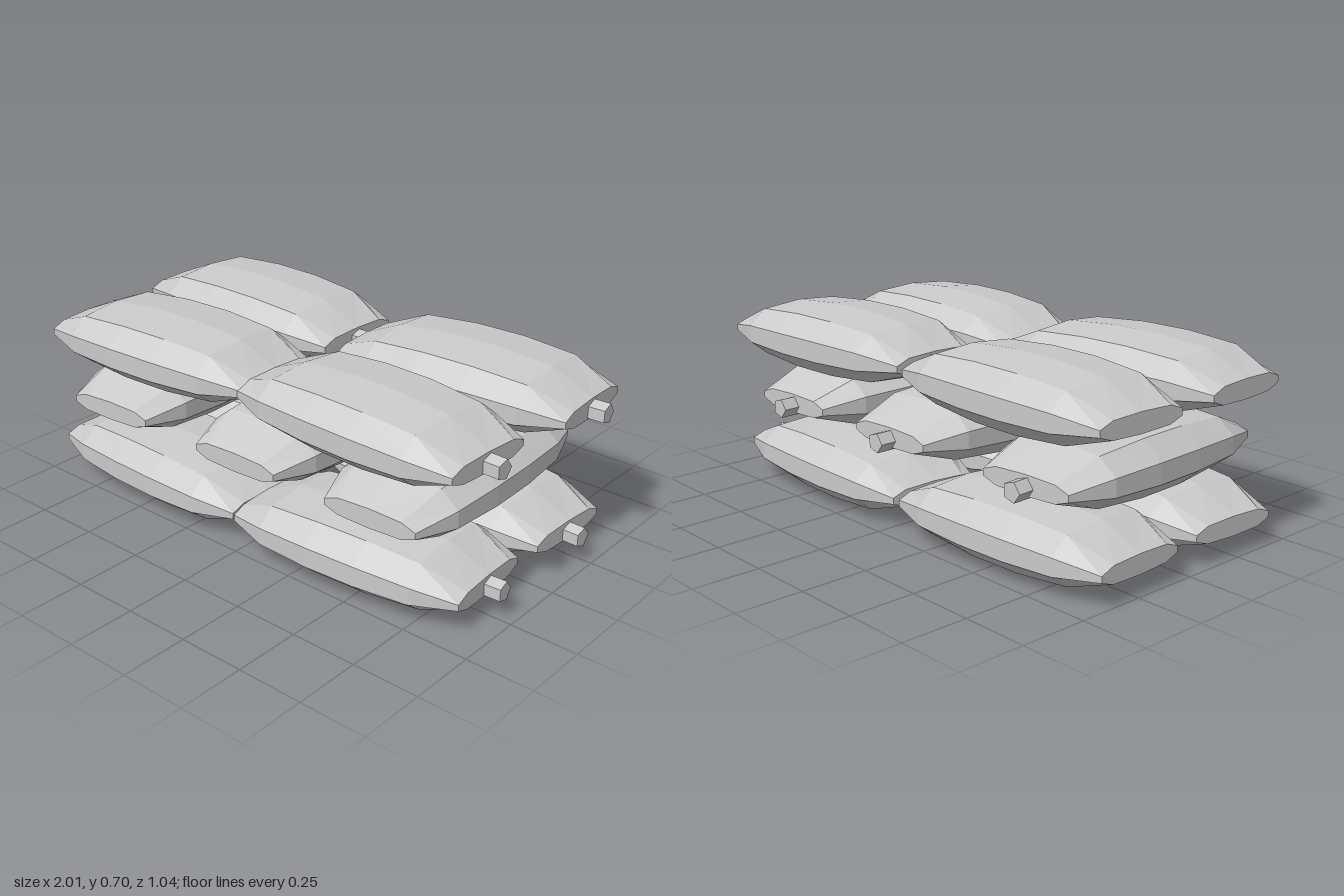
import * as THREE from 'three';

// Half-section of a bag, as (y, z) fractions from top to bottom
const HALF = [[1, 0], [0.87, 0.7], [0.31, 1], [-0.33, 1], [-0.87, 0.7], [-1, 0]];
const SECTION = [...HALF, ...HALF.slice(1, -1).reverse().map(([y, z]) => [y, -z])];

// Stations along the bag: x, half height, half width, y offset
const STATIONS = [
  [-0.472, 0.036, 0.183, -0.008],
  [-0.31, 0.1, 0.236, 0],
  [-0.1, 0.1165, 0.249, 0],
  [0.1, 0.1165, 0.249, 0],
  [0.31, 0.1, 0.236, 0],
  [0.472, 0.036, 0.183, -0.008],
];

// Faceted pillow lofted through the stations, closed at both ends
function bagGeometry() {
  const n = SECTION.length;
  const rings = STATIONS.map(([x, h, w, dy]) => SECTION.map(([y, z]) => [x, y * h + dy, z * w]));
  const pos = [];
  const tri = (a, b, c) => pos.push(...a, ...b, ...c);
  for (let i = 0; i < rings.length - 1; i++) {
    for (let j = 0; j < n; j++) {
      const k = (j + 1) % n;
      const a = rings[i][j], b = rings[i][k], c = rings[i + 1][k], d = rings[i + 1][j];
      tri(a, b, c);
      tri(a, c, d);
    }
  }
  const first = rings[0], last = rings[rings.length - 1];
  for (let j = 1; j < n - 1; j++) {
    tri(last[0], last[j], last[j + 1]);
    tri(first[0], first[j + 1], first[j]);
  }
  const g = new THREE.BufferGeometry();
  g.setAttribute('position', new THREE.Float32BufferAttribute(pos, 3));
  g.computeVertexNormals();
  return g;
}

// Layers of bags: centre x, centre z, yaw
const Q = Math.PI / 2;
const LAYERS = [
  { name: 'bottom', y: 0.117, bags: [
    [-0.51, 0.26, -0.04], [0.427, 0.26, 0.05], [-0.52, -0.25, 0.03], [0.437, -0.25, -0.04]] },
  { name: 'middle', y: 0.354, bags: [
    [-0.675, 0.012, Q + 0.05], [-0.015, 0.012, Q + 0.01], [0.575, 0.012, Q + 0.03]] },
  { name: 'top', y: 0.585, bags: [
    [-0.502, 0.262, 0.05], [0.43, 0.262, -0.043], [-0.53, -0.252, -0.02], [0.468, -0.25, 0.045]] },
];

export function createModel() {
  const cloth = new THREE.MeshStandardMaterial({ color: 0xcacaca });
  cloth.name = 'paleGreyCloth';
  cloth.flatShading = true;

  const bodyGeo = bagGeometry();
  // Tied neck: a short five-sided stub on the end of each bag
  const neckGeo = new THREE.CylinderGeometry(0.037, 0.037, 0.08, 5, 1, false, Math.PI);
  neckGeo.rotateZ(-Q);
  neckGeo.translate(0.493, -0.016, 0);

  const model = new THREE.Group();
  model.name = 'sandbagStack';
  for (const layer of LAYERS) {
    const group = new THREE.Group();
    group.name = layer.name + 'Layer';
    group.position.y = layer.y;
    layer.bags.forEach(([x, z, yaw], i) => {
      const bag = new THREE.Group();
      bag.name = `${layer.name}Sandbag${i + 1}`;
      const body = new THREE.Mesh(bodyGeo, cloth);
      body.name = 'bagBody';
      const neck = new THREE.Mesh(neckGeo, cloth);
      neck.name = 'tiedNeck';
      bag.add(body, neck);
      bag.position.set(x, 0, z);
      bag.rotation.y = yaw;
      group.add(bag);
    });
    model.add(group);
  }
  return model;
}
